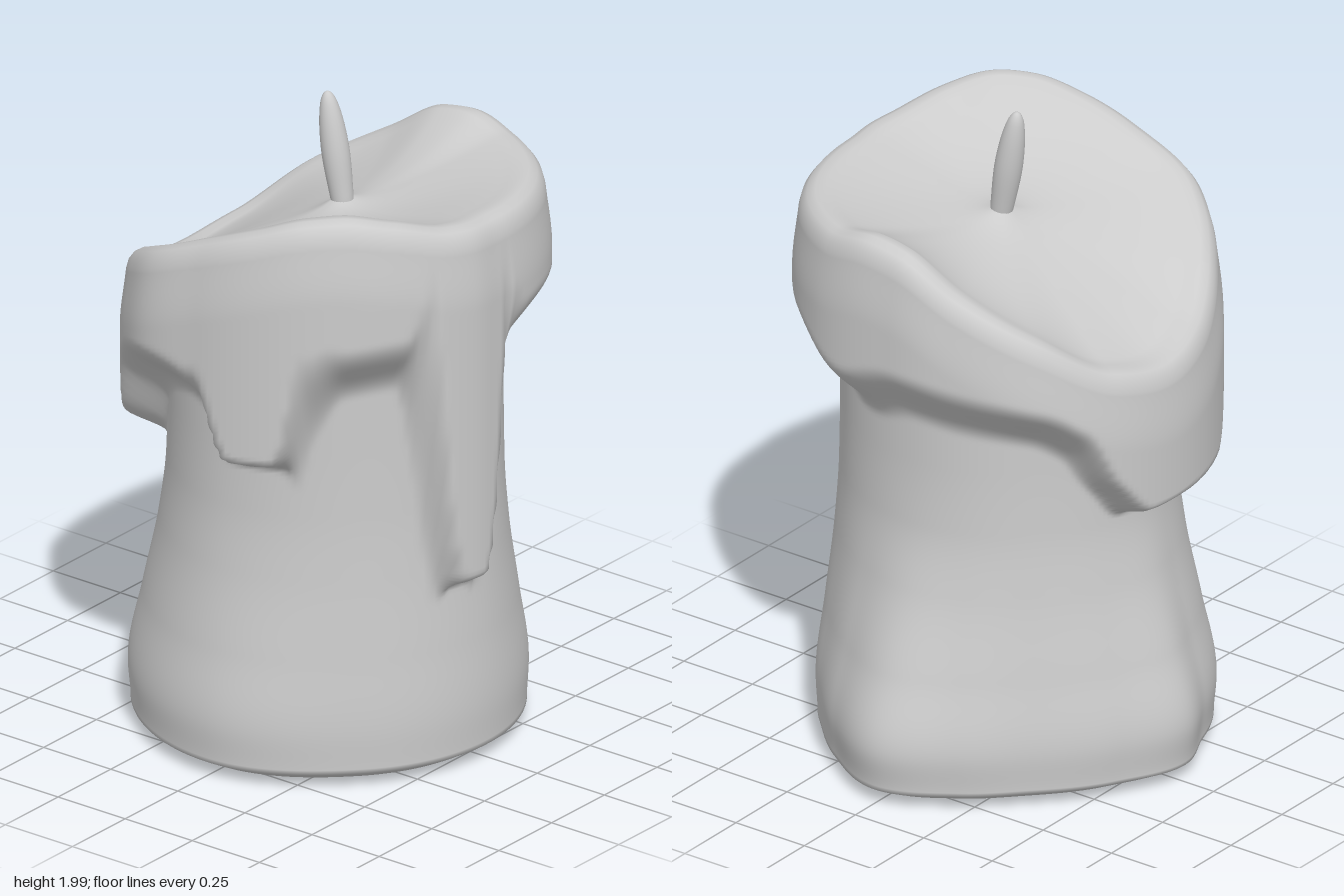
import * as THREE from 'three';

const SEG = 200;
const { lerp, smoothstep, degToRad } = THREE.MathUtils;

// Outlines around the candle as [degrees, value]; 0 = +x, 90 = +z (front).
const RIM = [[0, 1.765], [12, 1.78], [28, 1.755], [60, 1.75], [90, 1.755], [107, 1.77], [125, 1.82], [140, 1.85], [150, 1.84],
  [165, 1.79], [180, 1.73], [200, 1.64], [225, 1.52], [250, 1.4], [270, 1.365], [290, 1.4], [315, 1.535], [340, 1.66]];
const CAP_EDGE = [[0, 1.29], [20, 1.25], [45, 1.33], [70, 1.36], [80, 1.35], [88, 1.2], [92, 0.8], [97, 0.62],
  [106, 0.62], [111, 0.8], [115, 1.2], [122, 1.36], [140, 1.34], [150, 1.24], [158, 1.04], [172, 1.03], [184, 1.22],
  [195, 1.25], [208, 1.22], [222, 1.12], [232, 0.95], [240, 0.9], [280, 0.9], [291, 1.0], [302, 1.16], [315, 1.23], [340, 1.27]];
const CAP_RADIUS = [[0, 0.585], [30, 0.62], [60, 0.635], [90, 0.63], [102, 0.645], [120, 0.65], [135, 0.66], [157, 0.665],
  [180, 0.665], [198, 0.685], [211, 0.665], [227, 0.635], [244, 0.62], [270, 0.615], [315, 0.605], [345, 0.585]];
const BASE_RADIUS = [[0, 0.67], [22, 0.605], [45, 0.565], [90, 0.57], [135, 0.575], [180, 0.62], [225, 0.61],
  [252, 0.61], [268, 0.645], [290, 0.59], [315, 0.565], [338, 0.605]];
const WAIST_RADIUS = [[0, 0.465], [45, 0.48], [90, 0.53], [135, 0.53], [180, 0.525], [225, 0.495], [270, 0.48], [315, 0.465]];
// How far the body has flared from waist to base, by height.
const FLARE = [[0.05, 0.93], [0.17, 1], [0.4, 0.65], [0.65, 0.23], [0.85, 0.04], [1.05, 0], [2, 0]];

// Smooth interpolation through a table with a monotone cubic; period wraps it.
function sample(table, x, period) {
  const n = table.length;
  const at = (k) => {
    if (!period) return table[Math.min(Math.max(k, 0), n - 1)];
    const [d, v] = table[((k % n) + n) % n];
    return [d + Math.floor(k / n) * period, v];
  };
  let i = 0;
  while (i < n - (period ? 1 : 2) && at(i + 1)[0] <= x) i++;
  const slope = (k) => (at(k + 1)[1] - at(k)[1]) / (at(k + 1)[0] - at(k)[0] || 1);
  const tangent = (k) => {
    const a = slope(k - 1), b = slope(k);
    return a * b <= 0 ? 0 : (2 * a * b) / (a + b);
  };
  const [x0, v0] = at(i), [x1, v1] = at(i + 1), h = x1 - x0;
  const t = Math.min(Math.max((x - x0) / h, 0), 1), t2 = t * t, t3 = t2 * t;
  return v0 * (2 * t3 - 3 * t2 + 1) + v1 * (3 * t2 - 2 * t3)
    + h * (tangent(i) * (t3 - 2 * t2 + t) + tangent(i + 1) * (t3 - t2));
}
const around = (table, deg) => sample(table, (deg + 360) % 360, 360);

// Closed rings of points skinned from the first row to the last.
function skin(rowCount, point) {
  const pos = [], index = [];
  for (let j = 0; j < rowCount; j++) {
    for (let i = 0; i < SEG; i++) pos.push(...point(j, (i * 360) / SEG));
  }
  for (let j = 0; j < rowCount - 1; j++) {
    for (let i = 0; i < SEG; i++) {
      const a = j * SEG + i, b = j * SEG + ((i + 1) % SEG), c = a + SEG, d = b + SEG;
      index.push(a, c, b, b, c, d);
    }
  }
  const g = new THREE.BufferGeometry();
  g.setAttribute('position', new THREE.Float32BufferAttribute(pos, 3));
  g.setIndex(index);
  g.computeVertexNormals();
  return g;
}

const polar = (deg, r, y, cx = 0, cz = 0) => {
  const a = degToRad(deg);
  return [cx + r * Math.cos(a), y, cz + r * Math.sin(a)];
};

// Outer radius: flared body below, melted cap with its drips above.
function sideRadius(deg, y) {
  const waist = around(WAIST_RADIUS, deg);
  const body = lerp(waist, around(BASE_RADIUS, deg), sample(FLARE, y));
  const rim = around(RIM, deg), edge = around(CAP_EDGE, deg);
  const cap = around(CAP_RADIUS, deg) * (1 - 0.035 * smoothstep(y, rim - 0.25, rim));
  // Distance from the cap's edge, measured square to it so drip sides stay even
  const steep = (around(CAP_EDGE, deg + 2) - around(CAP_EDGE, deg - 2)) / (0.6 * degToRad(4));
  const distance = (y - edge) / Math.hypot(1, steep);
  // Drips end abruptly, the rest of the cap swells out gradually
  const soft = lerp(0.035, 0.11, smoothstep(edge, 1.0, 1.32));
  return lerp(body, cap, smoothstep(distance, -soft, soft));
}

const SIDE_ROWS = 120, POOL_ROWS = 20;
const LIP = [[0.008, 0.035], [0.025, 0.013], [0.05, 0.002], [0.08, 0.004]]; // inset, drop

// Slightly bowed underside, from its middle out to the lower edge
const UNDER = [[0.002, 0.005], [0.5, 0.008], [0.91, 0.02]];
const underPoint = (j, deg) => polar(deg, sideRadius(deg, 0.05) * UNDER[j][0], UNDER[j][1]);

function waxPoint(j, deg) {
  if (j === 0) return underPoint(UNDER.length - 1, deg);
  const rim = around(RIM, deg), top = rim - 0.065;
  if (j <= SIDE_ROWS) {
    const y = lerp(0.05, top, (j - 1) / (SIDE_ROWS - 1));
    return polar(deg, sideRadius(deg, y), y);
  }
  const r = sideRadius(deg, top), k = j - SIDE_ROWS - 1;
  if (k < LIP.length) return polar(deg, r - LIP[k][0], rim - LIP[k][1]);
  // Sunken pool sloping to the back, rising to a small peak round the wick
  const s = Math.max(1 - (k - LIP.length + 1) / POOL_ROWS, 0.002);
  const sin = Math.sin(degToRad(deg));
  const floor = 1.64 + s * (0.14 * sin - 0.06 * sin * sin);
  const y = lerp(floor, rim - 0.006, s ** 3) + 0.05 * Math.exp(-s * 9);
  return polar(deg, (r - 0.08) * s, y, -0.03 * (1 - s), 0.04 * (1 - s));
}

export function createModel() {
  const group = new THREE.Group();
  group.name = 'candle';
  const material = new THREE.MeshStandardMaterial({ color: 0xcccccc });
  const add = (name, geometry) => {
    const mesh = new THREE.Mesh(geometry, material);
    mesh.name = name;
    group.add(mesh);
    return mesh;
  };

  add('waxBody', skin(1 + SIDE_ROWS + LIP.length + POOL_ROWS, waxPoint));
  add('underside', skin(UNDER.length, underPoint));

  // Wick: a tapered bud leaning back
  const profile = [[0, 0], [0.028, 0.01], [0.037, 0.09], [0.042, 0.19], [0.037, 0.28], [0.026, 0.345], [0.013, 0.375], [0, 0.383]]
    .map(([r, y]) => new THREE.Vector2(r, y));
  const curve = new THREE.SplineCurve(profile).getPoints(28);
  curve.forEach((p) => { p.x = Math.max(p.x, 0); });
  const wick = add('wick', new THREE.LatheGeometry(curve, 24));
  wick.position.set(-0.03, 1.622, 0.055);
  wick.rotation.x = -0.17;
  return group;
}
